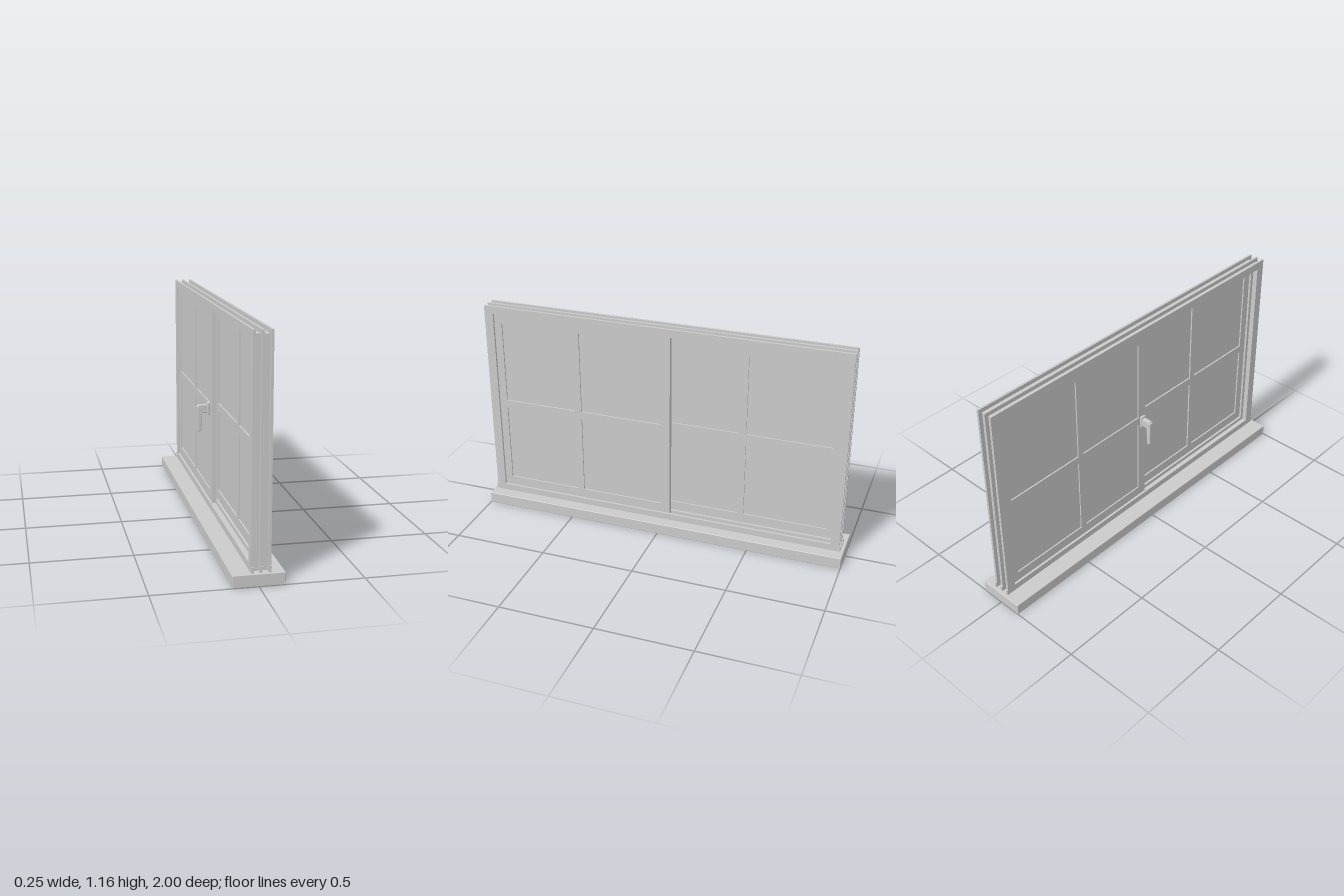
import * as THREE from 'three';
import { RoundedBoxGeometry } from 'three/addons/geometries/RoundedBoxGeometry.js';

const material = new THREE.MeshStandardMaterial({ color: 0xcccccc });

function add(parent, name, geometry, x = 0, y = 0, z = 0) {
  const mesh = new THREE.Mesh(geometry, material);
  mesh.name = name;
  mesh.position.set(x, y, z);
  parent.add(mesh);
  return mesh;
}

// Rectangle outline given as [z0, z1, y0, y1], drawn with u = -z
function rectangle(Type, [z0, z1, y0, y1]) {
  const path = new Type();
  path.moveTo(-z1, y0);
  path.lineTo(-z0, y0);
  path.lineTo(-z0, y1);
  path.lineTo(-z1, y1);
  path.closePath();
  return path;
}

// Upright plate in the zy plane, from x0 to x1, with rectangular openings
function plate(outer, holes, x0, x1) {
  const shape = rectangle(THREE.Shape, outer);
  shape.holes = holes.map((hole) => rectangle(THREE.Path, hole));
  const geometry = new THREE.ExtrudeGeometry(shape, { depth: x1 - x0, bevelEnabled: false });
  return geometry.rotateY(Math.PI / 2).translate(x0, 0, 0);
}

// Sliding sash with two by two panes; shift moves it along z
function createSash(name, x0, x1, shift) {
  const sash = new THREE.Group();
  sash.name = name;
  const columns = [[0.005, 0.455], [0.49, 0.895]];
  const rows = [[0.145, 0.575], [0.62, 1.07]];
  const panes = [];
  for (const c of columns) for (const r of rows) panes.push([...c, ...r]);
  add(sash, 'sashFrame', plate([-0.045, 0.943, 0.085, 1.13], panes, x0, x1));
  const mid = (x0 + x1) / 2;
  for (const [z0, z1, y0, y1] of panes) {
    add(sash, 'glassPane', new THREE.BoxGeometry(0.01, y1 - y0, z1 - z0),
      mid, (y0 + y1) / 2, (z0 + z1) / 2);
  }
  sash.position.z = shift;
  return sash;
}

// Lever handle: backplate, neck and downward grip
function createHandle() {
  const handle = new THREE.Group();
  handle.name = 'handle';
  add(handle, 'backplate', new RoundedBoxGeometry(0.014, 0.066, 0.034, 2, 0.004), -0.034, 0.597, 0);
  const bevel = 0.004;
  const outline = [
    [-0.036, 0.616], [-0.083, 0.616], [-0.091, 0.608], [-0.091, 0.485], [-0.086, 0.479],
    [-0.08, 0.479], [-0.076, 0.485], [-0.075, 0.572], [-0.069, 0.579], [-0.036, 0.579],
  ];
  const shape = new THREE.Shape(outline.map(([x, y]) => new THREE.Vector2(x, y)));
  const lever = new THREE.ExtrudeGeometry(shape, {
    depth: 0.016, bevelThickness: bevel, bevelSize: bevel, bevelSegments: 3,
  });
  add(handle, 'lever', lever, 0, 0, -0.008);
  handle.position.z = 0.012;
  return handle;
}

export function createModel() {
  const model = new THREE.Group();
  model.name = 'slidingWindow';

  // Sill
  add(model, 'sill', new RoundedBoxGeometry(0.248, 0.06, 2, 2, 0.003), 0, 0.03, 0);

  // Outer frame: three parallel flanges joined by a web, leaving open channels
  const frame = new THREE.Group();
  frame.name = 'frame';
  model.add(frame);
  const opening = [-0.93, 0.935, 0.095, 1.12];
  const flanges = [[-0.034, -0.022], [0.006, 0.018], [0.048, 0.06]];
  for (const [x0, x1] of flanges) {
    add(frame, 'flange', plate([-0.977, 0.983, 0.06, 1.163], [opening], x0, x1));
    // Bottom track runs slightly past the jambs
    add(frame, 'trackEnd', new THREE.BoxGeometry(x1 - x0, 0.03, 1.973), (x0 + x1) / 2, 0.075, 0.003);
  }
  add(frame, 'web', plate([-0.957, 0.963, 0.062, 1.142], [[-0.947, 0.953, 0.075, 1.132]], -0.03, 0.056));

  // Sashes, one in each track
  model.add(createSash('outerSash', 0.02, 0.046, 0));
  model.add(createSash('innerSash', -0.02, 0.004, -0.9));

  model.add(createHandle());
  return model;
}
